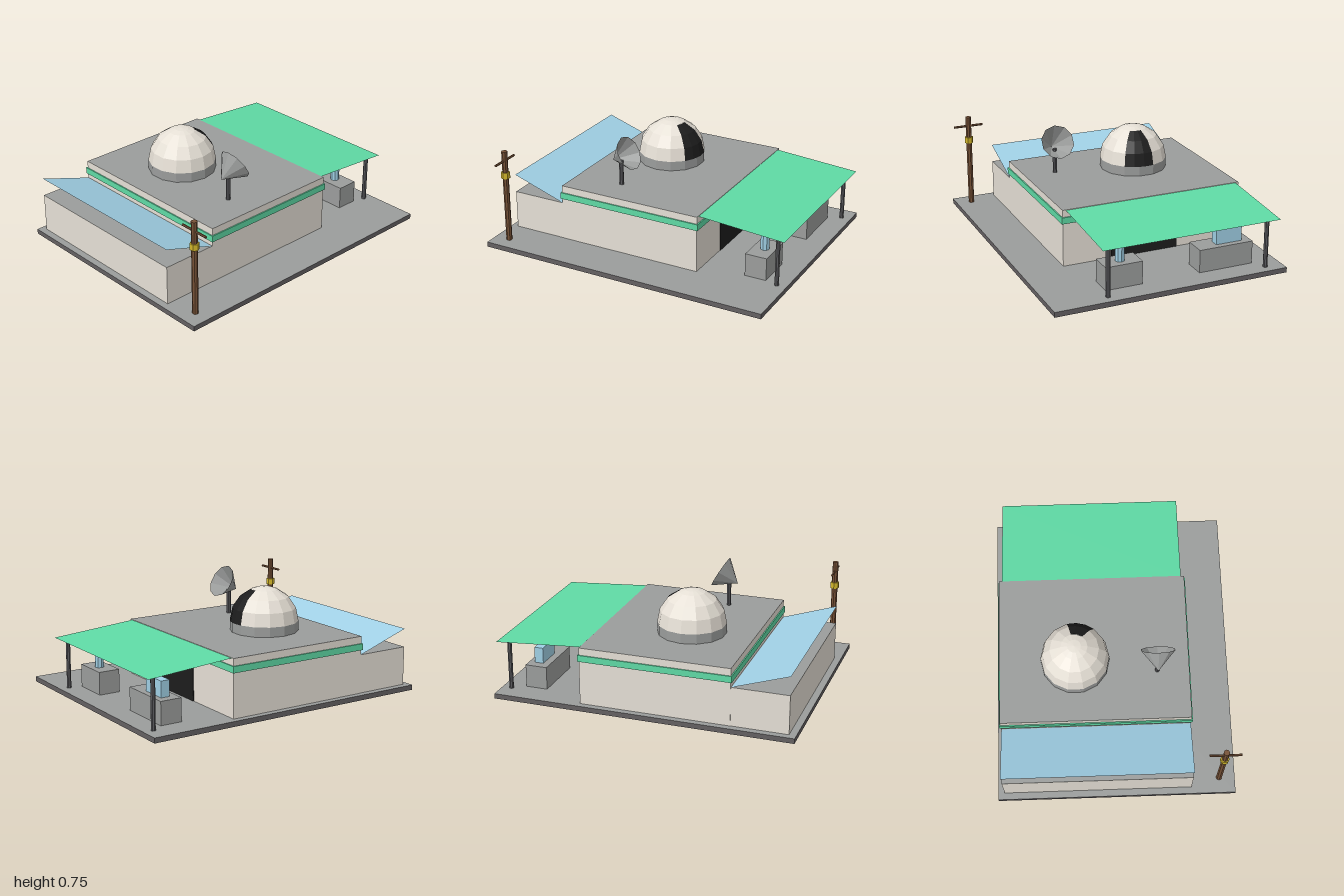
import * as THREE from 'three';

const mat = (name, color, extra = {}) => {
  const m = new THREE.MeshStandardMaterial({ color, flatShading: true, ...extra });
  m.name = name;
  return m;
};

export function createModel() {
  const open = { side: THREE.DoubleSide };
  const wall = mat('paleWall', 0xe6e0d6);
  const slab = mat('darkSlab', 0x646062, open);
  const concrete = mat('greyConcrete', 0x9b9d9c, open);
  const green = mat('green', 0x5fdaa5, open);
  const blue = mat('paleBlue', 0xa0d0e5, open);
  const black = mat('black', 0x1d1d1d);
  const brown = mat('brown', 0x765136);
  const yellow = mat('yellow', 0xd2b62a);
  const metal = mat('darkMetal', 0x5c5c60);

  const root = new THREE.Group();
  root.name = 'building';
  const add = (name, geo, material, x = 0, y = 0, z = 0) => {
    const mesh = new THREE.Mesh(geo, material);
    mesh.name = name;
    mesh.position.set(x, y, z);
    root.add(mesh);
    return mesh;
  };
  // Box given by its limits on each axis
  const box = (name, material, x0, x1, y0, y1, z0, z1) =>
    add(name, new THREE.BoxGeometry(x1 - x0, y1 - y0, z1 - z0), material,
      (x0 + x1) / 2, (y0 + y1) / 2, (z0 + z1) / 2);
  // Materials for a box with pale sides and concrete top and bottom
  const walls = [wall, wall, concrete, concrete, wall, wall];
  // Upright prism or cylinder between two heights
  const post = (name, material, r, sides, x, z, y0, y1) =>
    add(name, new THREE.CylinderGeometry(r, r, y1 - y0, sides), material, x, (y0 + y1) / 2, z);
  // Thin sheet between a back edge and a front edge
  const sheet = (name, material, x0, x1, yBack, zBack, yFront, zFront) => {
    const geo = new THREE.BufferGeometry();
    geo.setAttribute('position', new THREE.Float32BufferAttribute([
      x0, yBack, zBack, x0, yFront, zFront, x1, yFront, zFront, x1, yBack, zBack], 3));
    geo.setIndex([0, 1, 2, 0, 2, 3]);
    geo.computeVertexNormals();
    return add(name, geo, material);
  };

  // Ground: a top sheet with an open skirt hanging from its edges
  const floor = 0.034, width = 1.584, above = floor + 0.001;
  sheet('groundSurface', concrete, -width / 2, width / 2, floor, -1, floor, 1);
  const skirt = new THREE.CylinderGeometry(Math.SQRT1_2, Math.SQRT1_2, floor, 4, 1, true);
  add('groundSkirt', skirt.rotateY(Math.PI / 4).scale(width, 1, 2), slab, 0, floor / 2, 0);

  // Building
  const roof = 0.418, left = -0.752, right = 0.502, back = -0.415, front = 0.583;
  box('mainHall', walls, left, right, above, roof, back, front);
  box('frontHall', walls, -0.75, 0.5, above, 0.294, front, 0.955);
  box('backDoor', black, -0.3, 0.17, above, 0.32, back - 0.004, back);

  // Green band: four thin strips around the walls
  const t = 0.008;
  for (const [x0, x1] of [[left - t, left], [right, right + t]])
    box('sideBand', green, x0, x1, 0.327, 0.37, back - t, front + t);
  for (const [z0, z1] of [[back - t, back], [front, front + t]])
    box('endBand', green, left, right, 0.327, 0.37, z0, z1);

  // Awnings
  sheet('frontAwning', blue, -0.75, 0.5, 0.295, 0.588, 0.418, 0.955);
  sheet('backAwning', green, -0.73, 0.48, 0.372, -1, 0.415, back);
  for (const x of [-0.67, 0.42]) post('awningPost', metal, 0.015, 8, x, -0.935, above, 0.374);

  // Yard blocks with blue equipment
  box('smallBlock', concrete, 0.15, 0.4, above, 0.188, -0.852, -0.705);
  box('largeBlock', concrete, -0.62, -0.245, above, 0.188, -0.852, -0.705);
  post('smallTank', blue, 0.03, 8, 0.275, -0.783, 0.188, 0.294);
  box('largeTank', blue, -0.56, -0.38, 0.188, 0.294, -0.813, -0.753);

  // Dome: a cap, a shell and a dark opening two segments wide
  const sides = 14, step = Math.PI * 2 / sides, r = 0.226, ring = Math.PI / 8;
  const dome = [-0.25, 0.483, 0.168];
  const drum = post('domeDrum', concrete, r, sides, dome[0], dome[2], roof, dome[1]);
  drum.rotation.y = step / 2;
  add('domeCap', new THREE.SphereGeometry(r, sides, 1, 0, Math.PI * 2, 0, ring), wall, ...dome);
  add('domeShell', new THREE.SphereGeometry(r, 12, 3, 11 * step, 12 * step, ring, 3 * ring), wall, ...dome);
  add('domeOpening', new THREE.SphereGeometry(r, 2, 3, 9 * step, 2 * step, ring, 3 * ring), black, ...dome);

  // Dish: an open cone facing up and back
  post('dishPole', metal, 0.015, 8, 0.29, 0.252, roof, 0.585);
  const dish = add('dish', new THREE.ConeGeometry(0.115, 0.14, 10, 1, true), concrete, 0.29, 0.615, 0.252);
  dish.rotation.x = Math.PI * 2 / 3;

  // Utility pole
  const px = 0.687, pz = 0.895;
  post('utilityPole', brown, 0.02, 8, px, pz, floor - 0.001, 0.67);
  const bar = add('crossbar', new THREE.CylinderGeometry(0.008, 0.008, 0.205, 6), brown, px, 0.605, pz);
  bar.rotation.z = Math.PI / 2;
  post('poleCollar', yellow, 0.03, 6, px, pz, 0.482, 0.524).rotation.y = Math.PI / 6;

  return root;
}
